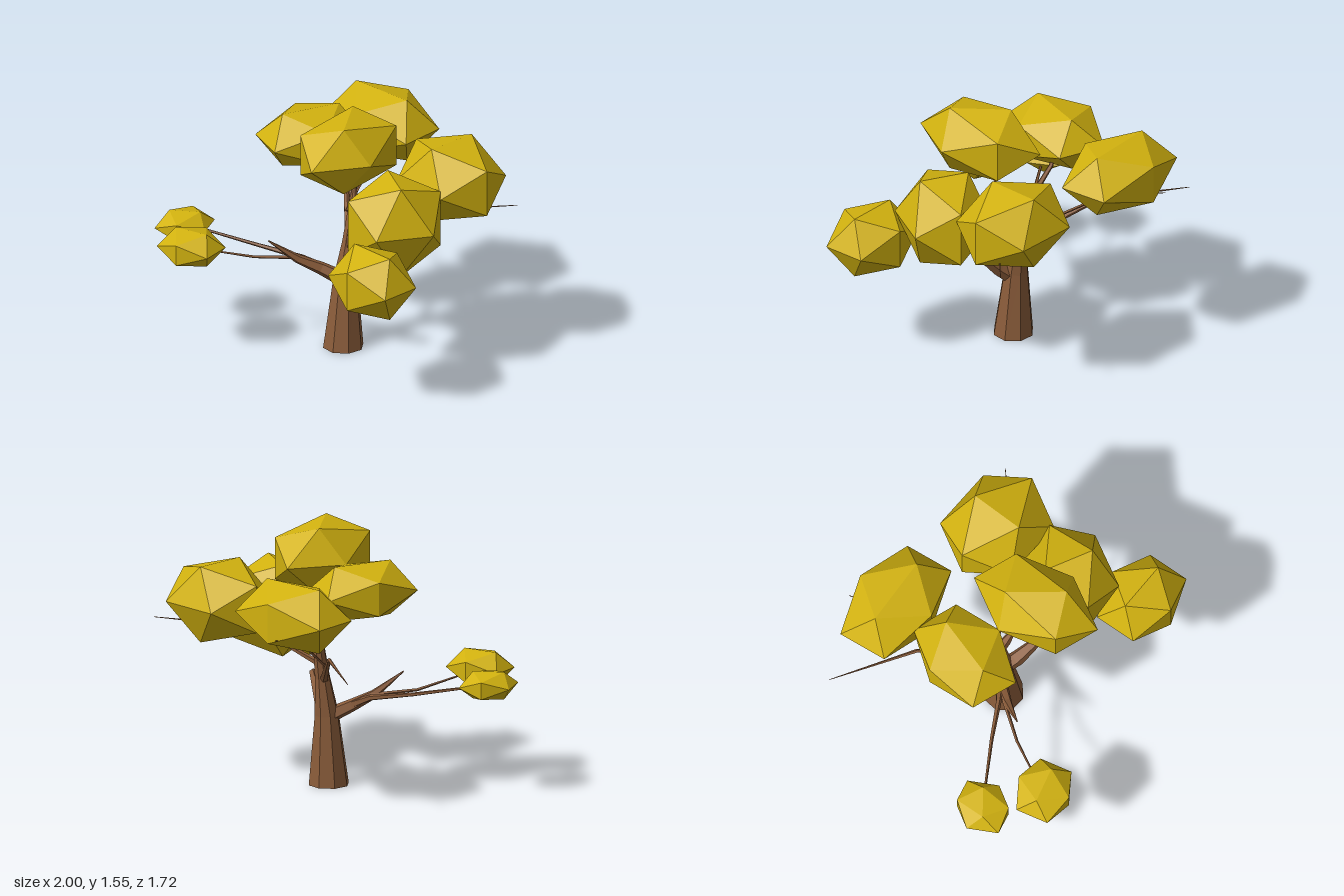
import * as THREE from 'three';

const leafMat = new THREE.MeshStandardMaterial({ color: 0xd2b20f, flatShading: true });
const barkMat = new THREE.MeshStandardMaterial({ color: 0x8a5c3a, flatShading: true });

// Tapered limb: rings of `sides` corners around points given as [x, y, z, radius]
function limb(name, pts, sides) {
  const P = pts.map(p => new THREE.Vector3(p[0], p[1], p[2]));
  const ref = new THREE.Vector3(0.31, 0, 0.95);
  const pos = [], idx = [], last = P.length - 1;
  P.forEach((p, i) => {
    const d = P[Math.min(i + 1, last)].clone().sub(P[Math.max(i - 1, 0)]).normalize();
    const a = ref.clone().addScaledVector(d, -ref.dot(d)).normalize();
    const b = d.clone().cross(a);
    for (let j = 0; j < sides; j++) {
      const t = (j / sides) * Math.PI * 2;
      const q = p.clone().addScaledVector(a, Math.cos(t) * pts[i][3]).addScaledVector(b, Math.sin(t) * pts[i][3]);
      pos.push(q.x, i === 0 && p.y === 0 ? 0 : q.y, q.z);
    }
  });
  const c0 = pos.length / 3, c1 = c0 + 1;
  pos.push(...P[0].toArray(), ...P[last].toArray());
  for (let j = 0; j < sides; j++) {
    const k = (j + 1) % sides, e = last * sides;
    for (let i = 0; i < last; i++) {
      const lo = i * sides, hi = lo + sides;
      idx.push(lo + j, lo + k, hi + k, lo + j, hi + k, hi + j);
    }
    idx.push(c0, k, j, c1, e + j, e + k);
  }
  const g = new THREE.BufferGeometry();
  g.setAttribute('position', new THREE.Float32BufferAttribute(pos, 3));
  g.setIndex(idx);
  g.computeVertexNormals();
  const m = new THREE.Mesh(g, barkMat);
  m.name = name;
  return m;
}

// Leaf clump: icosahedron stretched along horizontal axes u and v, with half height h
function clump(name, c, h, u, v) {
  const phi = (1 + Math.sqrt(5)) / 2;
  const s = u[0] * v[1] - u[1] * v[0] < 0 ? -1 : 1; // keep faces outward
  const g = new THREE.IcosahedronGeometry(Math.sqrt(1 + phi * phi), 0);
  g.applyMatrix4(new THREE.Matrix4().set(
    u[0], 0, s * v[0], c[0],
    0, h / phi, 0, c[1],
    u[1], 0, s * v[1], c[2],
    0, 0, 0, 1));
  const m = new THREE.Mesh(g, leafMat);
  m.name = name;
  return m;
}

export function createModel() {
  const tree = new THREE.Group();
  tree.name = 'tree';

  // Trunk and branches
  const wood = new THREE.Group();
  wood.name = 'wood';
  wood.add(
    limb('trunk', [[-0.007, 0, -0.025, 0.123], [-0.01, 0.43, -0.045, 0.074], [-0.005, 0.66, -0.075, 0.046],
      [-0.01, 0.86, -0.11, 0.034], [-0.03, 1.03, -0.14, 0.006]], 8),
    limb('rightStub', [[0.0, 0.38, -0.04, 0.05], [0.08, 0.46, 0.01, 0.048], [0.235, 0.625, 0.08, 0.024]], 5),
    limb('leftStub', [[-0.02, 0.42, -0.04, 0.05], [-0.12, 0.485, 0.05, 0.04], [-0.2, 0.55, 0.16, 0.028],
      [-0.295, 0.68, 0.31, 0.004]], 5),
    limb('lowLeftBranch', [[-0.1, 0.48, 0.03, 0.03], [-0.22, 0.54, 0.11, 0.018], [-0.45, 0.58, 0.24, 0.012],
      [-0.72, 0.64, 0.41, 0.008], [-0.85, 0.66, 0.49, 0.004]], 5),
    limb('lowLeftTwig', [[-0.2, 0.55, 0.13, 0.012], [-0.36, 0.57, 0.36, 0.009], [-0.52, 0.66, 0.66, 0.004]], 4),
    limb('backLeftBranch', [[0.0, 0.63, -0.06, 0.03], [-0.06, 0.68, -0.11, 0.022], [-0.38, 0.89, -0.38, 0.012],
      [-0.84, 0.88, -0.67, 0.002]], 5),
    limb('backLeftTwig', [[-0.16, 0.77, -0.19, 0.009], [-0.25, 1.0, -0.5, 0.008], [-0.42, 1.1, -0.86, 0.002]], 4),
    limb('backRightBranch', [[0.0, 0.74, -0.09, 0.02], [0.18, 0.83, -0.17, 0.013], [0.34, 0.92, -0.22, 0.011],
      [0.81, 0.98, -0.67, 0.002]], 5),
    limb('upperRightStub', [[0.0, 0.62, -0.07, 0.035], [0.05, 0.72, -0.05, 0.03], [0.122, 0.83, -0.03, 0.003]], 5),
    limb('upperLeftBranch', [[-0.01, 0.88, -0.11, 0.025], [-0.08, 1.0, -0.15, 0.018], [-0.19, 1.11, -0.16, 0.014],
      [-0.32, 1.24, -0.08, 0.004]], 5));

  // Foliage
  const foliage = new THREE.Group();
  foliage.name = 'foliage';
  foliage.add(
    clump('topClump', [0.16, 1.345, 0.085], 0.205, [0.115, 0.14], [-0.084, 0.16]),
    clump('leftClump', [-0.33, 1.245, -0.06], 0.165, [-0.05, 0.18], [0.14, 0.05]),
    clump('backLeftClump', [-0.305, 1.183, -0.6], 0.193, [0.21, -0.012], [0.02, 0.15]),
    clump('backRightClump', [0.468, 1.11, -0.457], 0.23, [0.003, 0.163], [0.197, 0.005]),
    clump('rightClump', [0.52, 0.98, 0.045], 0.278, [0.135, 0.07], [-0.08, 0.155]),
    clump('frontRightClump', [0.738, 0.785, 0.42], 0.195, [0.155, 0.0], [0.008, 0.13]),
    clump('farLeftClump', [-0.835, 0.665, 0.485], 0.083, [0.073, -0.057], [0.047, 0.083]),
    clump('frontLeftClump', [-0.535, 0.68, 0.705], 0.102, [0.105, -0.028], [0.025, 0.097]));

  tree.add(wood, foliage);
  return tree;
}
